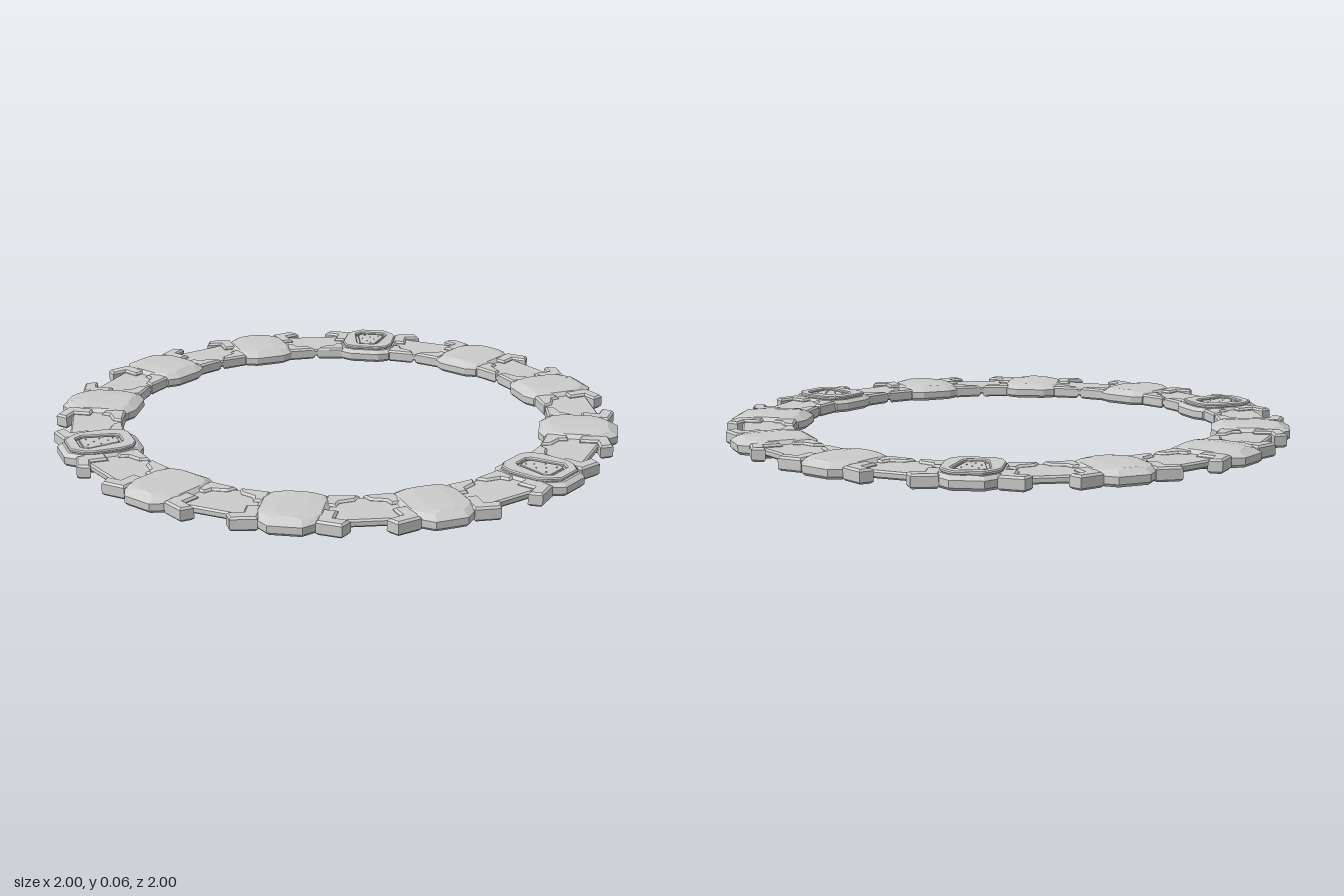
import * as THREE from 'three';

const material = new THREE.MeshStandardMaterial({ color: 0xcccccc, flatShading: true });

// Half outline of a block: [tangential offset, radius]
const HALF = [[0.055, 0.725], [0.095, 0.745], [0.115, 0.8], [0.115, 0.92], [0.1, 0.955], [0.055, 1]];
const OUTLINE = [...HALF, ...HALF.map(([u, r]) => [-u, r]).reverse()].reverse();
const MID = 0.865;
const scaled = (su, sr) => OUTLINE.map(([u, r]) => [u * su, MID + (r - MID) * sr]);

function part(name, geometry) {
  const mesh = new THREE.Mesh(geometry, material);
  mesh.name = name;
  return mesh;
}

// Stack of scaled outlines, given as [y, tangential scale, radial scale], closed at both ends
function loft(levels) {
  const rings = levels.map(([y, su, sr]) => scaled(su, sr).map(([u, r]) => [u, y, r]));
  const pos = [];
  const tri = (a, b, c) => pos.push(...a, ...b, ...c);
  const n = OUTLINE.length;
  for (let l = 0; l < rings.length - 1; l++) {
    for (let i = 0; i < n; i++) {
      const j = (i + 1) % n, lo = rings[l], hi = rings[l + 1];
      tri(lo[i], lo[j], hi[j]);
      tri(lo[i], hi[j], hi[i]);
    }
  }
  const bottom = rings[0], top = rings[rings.length - 1];
  for (let i = 1; i < n - 1; i++) {
    tri(top[0], top[i], top[i + 1]);
    tri(bottom[0], bottom[i + 1], bottom[i]);
  }
  const g = new THREE.BufferGeometry();
  g.setAttribute('position', new THREE.Float32BufferAttribute(pos, 3));
  g.computeVertexNormals();
  return g;
}

// Flat plate from [offset, radius] points between two heights
function plate(points, y0, y1, bevel = 0, hole = null) {
  const to2 = (pts) => pts.map(([u, r]) => new THREE.Vector2(u, -r));
  const shape = new THREE.Shape(to2(points));
  if (hole) shape.holes.push(new THREE.Path(to2(hole)));
  const g = new THREE.ExtrudeGeometry(shape, {
    depth: y1 - y0 - 2 * bevel, bevelEnabled: bevel > 0, bevelThickness: bevel,
    bevelSize: bevel, bevelOffset: -bevel, bevelSegments: 1,
  });
  g.rotateX(-Math.PI / 2);
  g.translate(0, y0 + bevel, 0);
  return g;
}

const mirror = (pts) => pts.map(([u, r]) => [-u, r]);
const OUTER_CLAW = [[0.09, 0.87], [0.145, 0.87], [0.143, 0.93], [0.195, 0.942], [0.175, 0.985], [0.09, 0.968]];
const INNER_CLAW = [[0.09, 0.752], [0.14, 0.745], [0.192, 0.738], [0.183, 0.775], [0.138, 0.8], [0.132, 0.83], [0.09, 0.83]];

// Window with cut corners, wide at the outer side; grown or shrunk by d
function windowPoints(d) {
  const half = [[0.028 + d * 0.6, 0.79 - d], [0.04 + d, 0.803 - d * 0.6],
    [0.062 + d, 0.915 + d * 0.6], [0.045 + d * 0.6, 0.938 + d]];
  return [...half, ...mirror(half).reverse()];
}

function createBlock(hasPanel) {
  const block = new THREE.Group();
  block.name = hasPanel ? 'panelBlock' : 'plainBlock';

  if (hasPanel) {
    block.add(part('blockBody', loft([[0.002, 0.92, 0.93], [0.012, 1, 1], [0.036, 1, 1], [0.048, 0.9, 0.88]])));
    block.add(part('panelFrame', plate(scaled(0.86, 0.83), 0.046, 0.06, 0.004, windowPoints(0))));
    block.add(part('panelPlate', plate(windowPoints(-0.01), 0.046, 0.056, 0.002)));
    // Small studs scattered over the panel
    for (const [u, r] of [[-0.03, 0.905], [0.025, 0.91], [0, 0.885], [-0.02, 0.86], [0.028, 0.865], [0.005, 0.835], [-0.012, 0.815]]) {
      const stud = part('panelStud', new THREE.CylinderGeometry(0.0025, 0.0025, 0.003, 6));
      stud.position.set(u, 0.057, r);
      block.add(stud);
    }
  } else {
    block.add(part('blockBody', loft([[0.002, 0.92, 0.93], [0.012, 1, 1], [0.036, 1, 1],
      [0.051, 0.86, 0.8], [0.056, 0.4, 0.74]])));
  }

  // Four claws gripping the neighbouring bands
  for (const side of [1, -1]) {
    const flip = (pts) => (side > 0 ? pts : mirror(pts));
    block.add(part('outerClaw', plate(flip(OUTER_CLAW), 0, 0.048, 0.007)));
    block.add(part('innerClaw', plate(flip(INNER_CLAW), 0.002, 0.046, 0.007)));
  }
  return block;
}

export function createModel() {
  const model = new THREE.Group();
  model.name = 'segmentedRing';

  // Thin faceted band running all the way round
  const circle = (radius) => Array.from({ length: 24 }, (_, i) => {
    const a = ((i + 0.5) / 24) * Math.PI * 2;
    return [Math.sin(a) * radius, Math.cos(a) * radius];
  });
  model.add(part('band', plate(circle(0.95), 0.012, 0.038, 0.006, circle(0.772))));

  // Twelve blocks, every fourth one with a panel
  for (let k = 0; k < 12; k++) {
    const block = createBlock(k % 4 === 2);
    block.rotation.y = (k * Math.PI) / 6;
    model.add(block);
  }
  return model;
}
